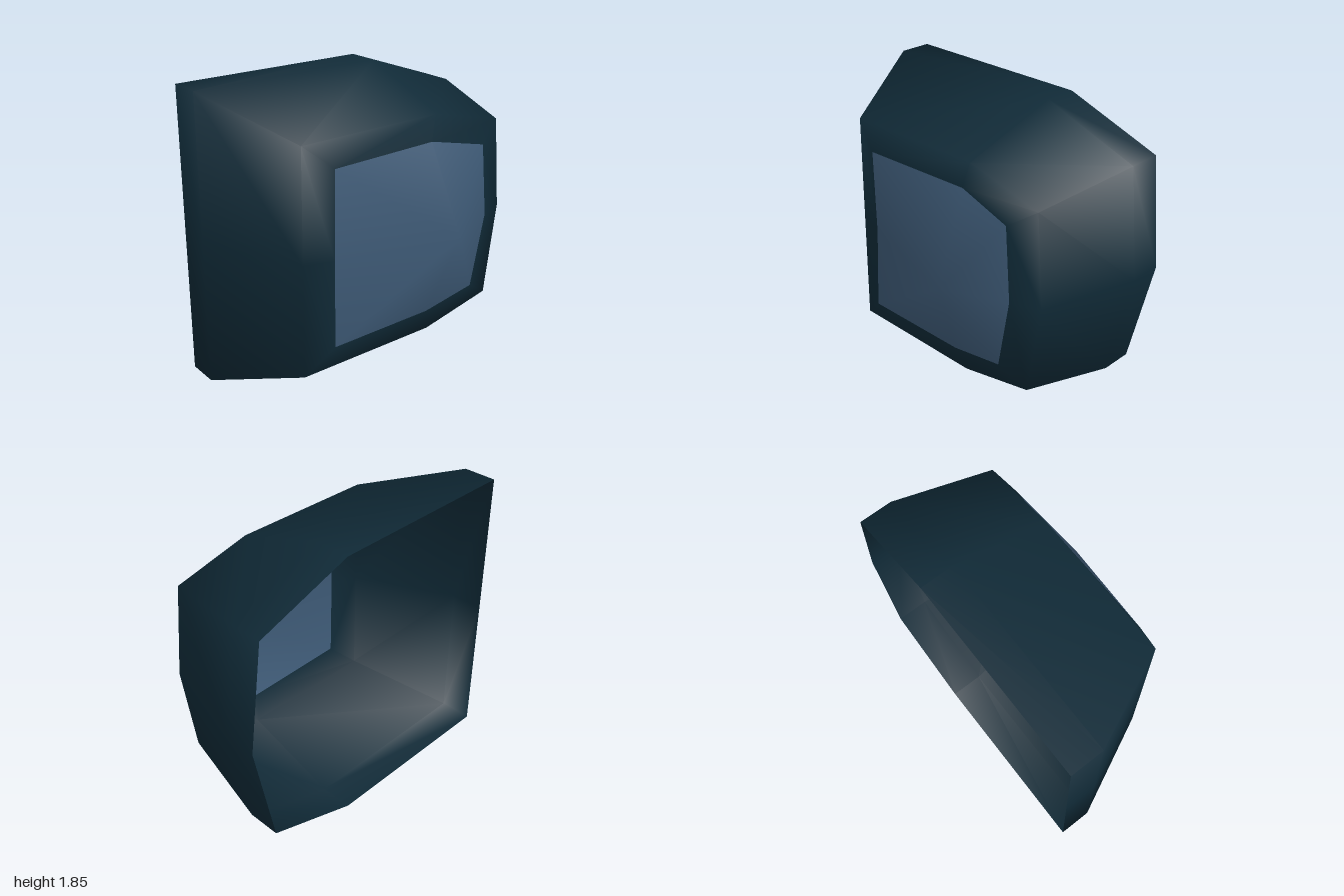
import * as THREE from 'three';

const shellMat = new THREE.MeshStandardMaterial({ color: 0x102a37, side: THREE.DoubleSide });
shellMat.name = 'dark teal shell';
const panelMat = new THREE.MeshStandardMaterial({ color: 0x3d5975, side: THREE.DoubleSide });
panelMat.name = 'blue grey panel';

// Cross-sections run counter-clockwise from the middle of the +x side.
const rim = [[1, 0.93], [0.92, 1.63], [0.29, 1.85], [-0.98, 1.85],
  [-0.99, 0.93], [-1, 0], [0.23, 0], [0.85, 0.22]];
const shoulder = [[0.83, 0.93], [0.78, 1.52], [0.27, 1.64], [-0.69, 1.63],
  [-0.7, 0.93], [-0.71, 0.21], [0.24, 0.22], [0.74, 0.33]];
const panelEdge = [[0.65, 0.93, 0.36], [0.61, 1.4, 0.355], [0.23, 1.48, 0.31], [-0.51, 1.48, 0.35],
  [-0.515, 0.93, 0.34], [-0.53, 0.38, 0.355], [0.19, 0.38, 0.34], [0.56, 0.45, 0.345]];
const peak = [0.27, 0.93, 0.54];

const atDepth = (outline, z) => outline.map(([x, y]) => [x, y, z]);

function makeMesh(name, points, index, material) {
  const geo = new THREE.BufferGeometry();
  geo.setAttribute('position', new THREE.Float32BufferAttribute(points.flat(), 3));
  geo.setIndex(index);
  geo.computeVertexNormals();
  const mesh = new THREE.Mesh(geo, material);
  mesh.name = name;
  return mesh;
}

// Skin a list of closed rings, ordered from back to front
function loft(name, rings, material) {
  const n = rings[0].length;
  const index = [];
  for (let i = 0; i < rings.length - 1; i++) {
    for (let j = 0; j < n; j++) {
      const k = (j + 1) % n;
      const a = i * n + j, b = i * n + k, c = a + n, d = b + n;
      index.push(a, b, d, a, d, c);
    }
  }
  return makeMesh(name, rings.flat(), index, material);
}

// Fan from a raised centre to a closed ring
function fan(name, centre, ring, material) {
  const index = [];
  ring.forEach((_, j) => index.push(0, j + 1, ((j + 1) % ring.length) + 1));
  return makeMesh(name, [centre, ...ring], index, material);
}

export function createModel() {
  const group = new THREE.Group();
  group.name = 'openBackedHousing';
  // Open-backed shell: straight rim, tapering walls, shallow front bevel
  group.add(loft('shell',
    [atDepth(rim, -0.54), atDepth(rim, -0.33), atDepth(shoulder, 0.29), panelEdge], shellMat));
  // Pointed front panel
  group.add(fan('frontPanel', peak, panelEdge, panelMat));
  return group;
}
